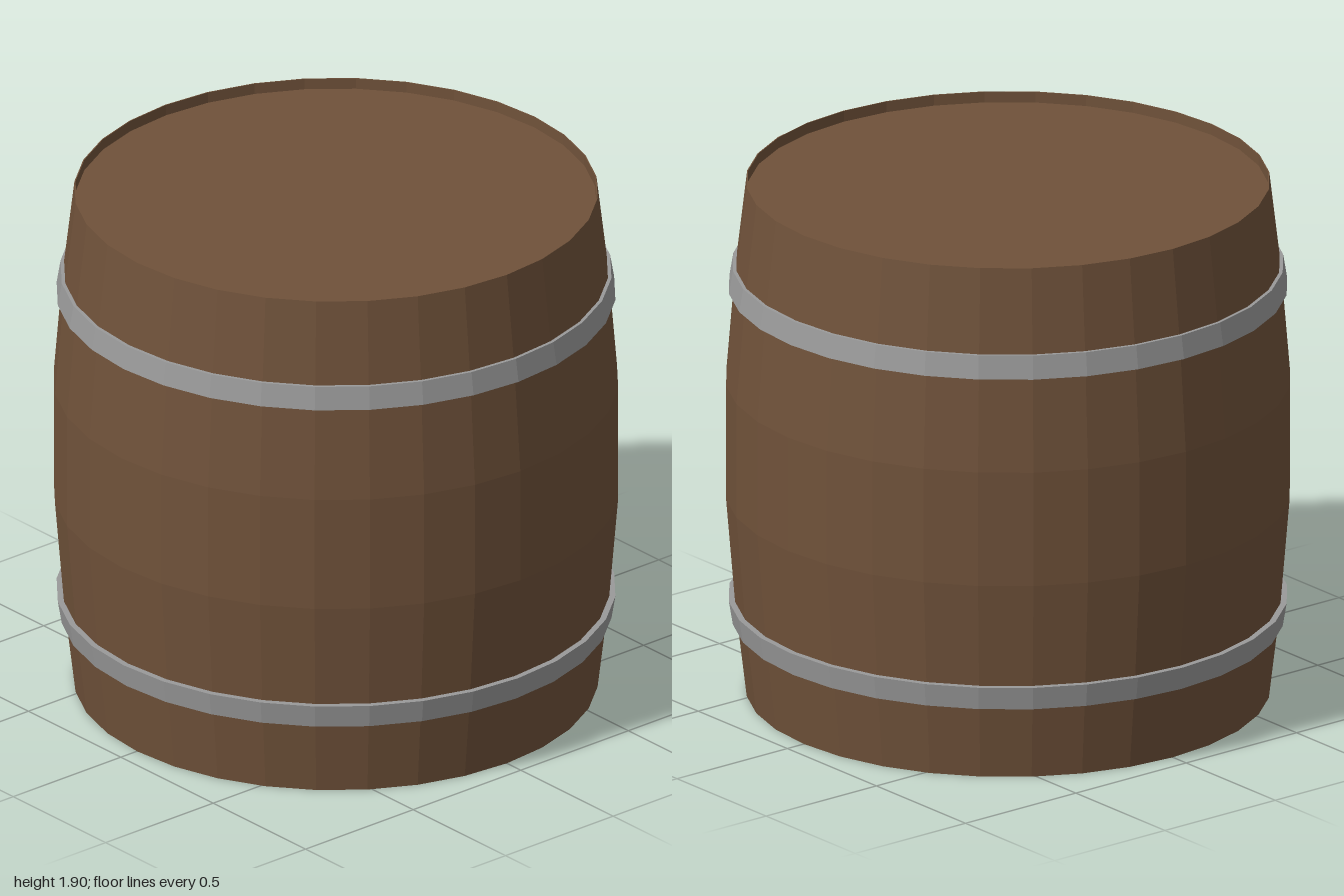
import * as THREE from 'three';

const SIDES = 32;

// Faceted solid of revolution from a profile of [radius, y] points
function turned(name, profile, material) {
  const points = profile.map(([r, y]) => new THREE.Vector2(r, y));
  const geometry = new THREE.LatheGeometry(points, SIDES).toNonIndexed();
  geometry.computeVertexNormals();
  const mesh = new THREE.Mesh(geometry, material);
  mesh.name = name;
  return mesh;
}

export function createModel() {
  const wood = new THREE.MeshStandardMaterial({ color: 0x70523a });
  wood.name = 'brown wood';
  const iron = new THREE.MeshStandardMaterial({ color: 0x9a9a9a });
  iron.name = 'grey iron';

  const barrel = new THREE.Group();
  barrel.name = 'barrel';

  // Bulging wall of staves with a flat base and a thin lip round the top
  barrel.add(turned('staves', [
    [0, 0], [0.925, 0], [0.965, 0.34], [0.998, 0.74], [0.998, 1.165],
    [0.965, 1.565], [0.925, 1.905], [0.921, 1.905], [0.921, 1.865],
  ], wood));

  // Slightly sunken lid
  barrel.add(turned('lid', [[0.921, 1.865], [0, 1.865]], wood));

  // Two hoops, each leaning with the wall; the lower mirrors the upper
  const hoop = [[0.955, 1.51], [0.988, 1.51], [0.974, 1.595], [0.945, 1.595], [0.955, 1.51]];
  barrel.add(turned('upperHoop', hoop, iron));
  const mirrored = hoop.map(([r, y]) => [r, 1.865 - y]).reverse();
  barrel.add(turned('lowerHoop', mirrored, iron));

  return barrel;
}
